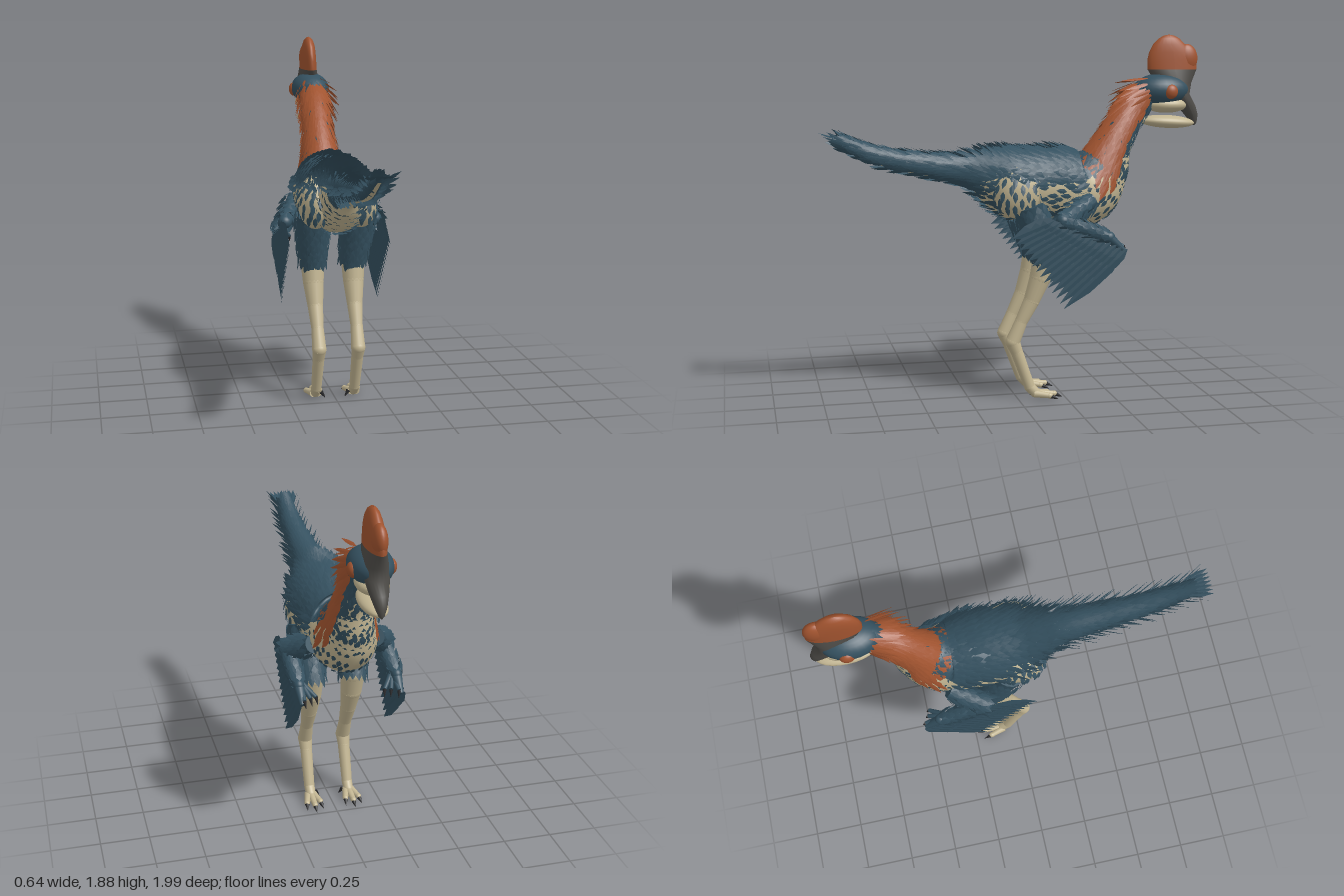
import * as THREE from 'three';

const V = (x, y, z) => new THREE.Vector3(x, y, z);
const mat = (name, color) => new THREE.MeshStandardMaterial({ name, color, side: THREE.DoubleSide });

// Body sections from tail tip to head: z, y, half width, half height
const SECTIONS = [
  [0.93, 1.375, 0.018, 0.015], [0.7, 1.28, 0.036, 0.038], [0.42, 1.225, 0.055, 0.055],
  [0.22, 1.195, 0.075, 0.08], [0.1, 1.155, 0.13, 0.145], [-0.02, 1.12, 0.175, 0.185],
  [-0.2, 1.11, 0.19, 0.2], [-0.37, 1.1, 0.17, 0.2], [-0.47, 1.2, 0.12, 0.15],
  [-0.53, 1.32, 0.085, 0.1], [-0.615, 1.47, 0.065, 0.075], [-0.7, 1.585, 0.07, 0.075],
  [-0.78, 1.62, 0.07, 0.07],
];
const LAST = SECTIONS.length - 1;

export function createModel() {
  const model = new THREE.Group();
  model.name = 'featheredDinosaur';
  const blue = mat('slateBlue', 0x34505f), cream = mat('cream', 0xc2b592);
  const rust = mat('rust', 0xa0532f), horn = mat('horn', 0x4e4c48), black = mat('claw', 0x2a2a2c);

  let seed = 7;
  const rnd = () => (seed = (seed * 16807) % 2147483647) / 2147483647;
  const jit = (k) => (rnd() - 0.5) * 2 * k;

  function add(name, geo, material, parent = model) {
    const m = new THREE.Mesh(geo, material);
    m.name = name;
    parent.add(m);
    return m;
  }
  function ball(name, p, sx, sy, sz, material, parent) {
    const m = add(name, new THREE.SphereGeometry(1, 24, 16), material, parent);
    m.position.copy(p);
    m.scale.set(sx, sy, sz);
    return m;
  }
  function limb(name, a, b, ra, rb, material, parent) {
    const m = add(name, new THREE.CylinderGeometry(rb, ra, a.distanceTo(b), 16), material, parent);
    m.position.copy(a).lerp(b, 0.5);
    m.quaternion.setFromUnitVectors(V(0, 1, 0), b.clone().sub(a).normalize());
  }
  function grid(rows, cols, point, keep = () => true) {
    const pos = [], idx = [];
    for (let i = 0; i <= rows; i++) for (let j = 0; j <= cols; j++) pos.push(...point(i, j).toArray());
    for (let i = 0; i < rows; i++) for (let j = 0; j < cols; j++) {
      if (!keep(i, j)) continue;
      const a = i * (cols + 1) + j, b = a + cols + 1;
      idx.push(a, a + 1, b, a + 1, b + 1, b);
    }
    const g = new THREE.BufferGeometry();
    g.setAttribute('position', new THREE.Float32BufferAttribute(pos, 3));
    g.setIndex(idx);
    g.computeVertexNormals();
    return g;
  }

  // Feathers: ridged leaves gathered into one list per part
  function feather(list, p, dir, normal, len, w, lift = 0.15) {
    const d = dir.clone().addScaledVector(normal, lift).normalize();
    const s = d.clone().cross(normal).normalize(), n = s.clone().cross(d).normalize();
    const at = (t, x, h) => p.clone().addScaledVector(d, t * len).addScaledVector(s, x * w / 2).addScaledVector(n, h * w + 0.003);
    const b = at(0, 0, 0), l1 = at(0.3, -0.9, 0), r1 = at(0.3, 0.9, 0), l2 = at(0.65, -0.8, 0), r2 = at(0.65, 0.8, 0);
    const m = at(0.5, 0, 0.05), tip = at(1, 0, 0);
    for (const t of [[b, m, l1], [b, r1, m], [l1, m, l2], [r1, r2, m], [l2, m, tip], [m, r2, tip]])
      for (const v of t) list.push(v.x, v.y, v.z);
  }
  function plumage(name, list, material, parent) {
    const g = new THREE.BufferGeometry();
    g.setAttribute('position', new THREE.Float32BufferAttribute(list, 3));
    g.computeVertexNormals();
    add(name, g, material, parent);
  }

  // Body surface, with u along the spine and a around it (0 = top)
  const spine = new THREE.CatmullRomCurve3(SECTIONS.map((s) => V(0, s[1], s[0])), false, 'catmullrom');
  const size = new THREE.CatmullRomCurve3(SECTIONS.map((s) => V(s[2], s[3], 0)), false, 'catmullrom');
  function body(u, a) {
    const t = Math.min(1, Math.max(0, u / LAST));
    const c = spine.getPoint(t), T = spine.getTangent(t), r = size.getPoint(t);
    const N = V(0, -T.z, T.y), s = Math.sin(a), k = Math.cos(a);
    return {
      p: c.addScaledVector(N, r.y * k).add(V(r.x * s, 0, 0)),
      n: N.multiplyScalar(k / r.y).add(V(s / r.x, 0, 0)).normalize(),
      back: T.negate(),
    };
  }
  const ROWS = 72, COLS = 40;
  const angle = (j) => (j / COLS) * 2 * Math.PI - Math.PI;
  const isBlue = (i, j) => {
    const u = (i / ROWS) * LAST, a = Math.abs(angle(j + 0.5));
    return a < (u < 3.2 ? 2.6 : u < 8.2 ? 1.25 : u < 9.4 ? 2 : 4);
  };
  const skin = (i, j) => body((i / ROWS) * LAST, angle(j)).p;
  add('backSkin', grid(ROWS, COLS, skin, isBlue), blue);
  add('bellySkin', grid(ROWS, COLS, skin, (i, j) => !isBlue(i, j)), cream);

  function coat(list, u0, u1, du, a0, a1, da, len, w, lift) {
    let row = 0;
    for (let u = u0; u < u1; u += du, row++)
      for (let a = a0 + (row % 2) * da / 2; a <= a1; a += da)
        for (const s of [-1, 1]) {
          const f = body(u + jit(du * 0.3), s * (a + jit(da * 0.25)));
          feather(list, f.p, f.back, f.n, len * (0.8 + rnd() * 0.4), w, lift);
        }
  }
  const tail = [], back = [], spots = [], neck = [], throat = [];
  coat(tail, 0.35, 3.6, 0.13, 0, 2.5, 0.45, 0.1, 0.036, 0.22);
  coat(tail, 0.4, 3.4, 0.17, 1.35, 1.75, 0.3, 0.14, 0.02, 0.45);
  coat(back, 3.5, 8.5, 0.2, 0, 1.35, 0.17, 0.09, 0.042, 0.28);
  coat(back, 3.9, 7, 0.22, 1.2, 1.45, 0.2, 0.09, 0.034, 0.5);
  coat(spots, 3.6, 8.6, 0.23, 1.45, 3.1, 0.23, 0.055, 0.028, 0.1);
  coat(throat, 8.3, 9.6, 0.2, 2, 3.1, 0.32, 0.06, 0.032, 0.12);
  coat(throat, 9.6, 11, 0.25, 2.1, 3.1, 0.4, 0.07, 0.026, 0.25);
  coat(neck, 7.7, 11.2, 0.22, 0, 2, 0.3, 0.11, 0.038, 0.32);
  coat(neck, 10.6, 11.4, 0.25, 0.4, 1.9, 0.4, 0.15, 0.022, 0.35);
  for (const i of [-3, -2, -1, 0, 1, 2, 3])
    feather(tail, V(i * 0.01, 1.355, 0.85), V(i * 0.09, 0.3, 1).normalize(), V(0, 1, 0), 0.155, 0.034, 0);
  plumage('tailFeathers', tail, blue);
  plumage('backFeathers', back, blue);
  plumage('flankSpots', spots, blue);
  plumage('throatFeathers', throat, blue);
  plumage('neckFeathers', neck, rust);

  // Head with a beak that rises into a tall crest
  const head = new THREE.Group();
  head.name = 'head';
  model.add(head);
  ball('skull', V(0, 1.605, -0.79), 0.105, 0.085, 0.15, blue, head);
  ball('upperJaw', V(0, 1.527, -0.82), 0.078, 0.044, 0.118, cream, head);
  const jaw = ball('lowerJaw', V(0, 1.437, -0.825), 0.064, 0.034, 0.152, cream, head);
  jaw.rotation.x = -0.06;
  // Rows of y, back z, front z, half width
  function blade(name, rows, material) {
    const n = 24;
    add(name, grid(rows.length - 1, n, (i, j) => {
      const [y, zb, zf, w] = rows[i], a = -(j / n) * 2 * Math.PI;
      return V(Math.cos(a) * w, y, (zb + zf) / 2 + Math.sin(a) * (zb - zf) / 2);
    }), material, head);
  }
  blade('beak', [[1.415, -0.972, -0.98, 0.003], [1.43, -0.955, -0.99, 0.015], [1.47, -0.925, -0.995, 0.03],
    [1.52, -0.88, -0.98, 0.045], [1.58, -0.84, -0.945, 0.06], [1.64, -0.76, -0.955, 0.06], [1.71, -0.715, -0.985, 0.044]], horn);
  blade('crest', [[1.71, -0.715, -0.985, 0.044], [1.76, -0.713, -0.985, 0.041], [1.8, -0.722, -0.965, 0.038],
    [1.84, -0.743, -0.92, 0.033], [1.87, -0.772, -0.888, 0.024], [1.885, -0.8, -0.86, 0.012], [1.89, -0.825, -0.835, 0.001]], rust);
  ball('crestLobe', V(0, 1.765, -0.925), 0.036, 0.078, 0.063, rust, head);

  // Feathers over a tapering limb
  function sleeve(list, a, b, ra, rb, rows, cols, len, w, lift) {
    const d = b.clone().sub(a).normalize();
    const e = d.clone().cross(V(1, 0, 0)).normalize(), f = d.clone().cross(e);
    for (let i = 0; i < rows; i++) for (let j = 0; j < cols; j++) {
      const t = i / rows, q = ((j + (i % 2) / 2 + jit(0.2)) / cols) * 2 * Math.PI;
      const n = e.clone().multiplyScalar(Math.cos(q)).addScaledVector(f, Math.sin(q));
      const p = a.clone().lerp(b, t).addScaledVector(n, ra + (rb - ra) * t);
      feather(list, p, d, n, len * (0.8 + rnd() * 0.4), w, lift);
    }
  }

  for (const s of [-1, 1]) {
    const side = s > 0 ? 'left' : 'right';
    const P = (x, y, z) => V(s * x, y, z);
    ball(side + 'Eye', P(0.088, 1.598, -0.815), 0.028, 0.038, 0.038, rust, head);

    // Thigh
    const leg = new THREE.Group();
    leg.name = side + 'Leg';
    model.add(leg);
    const hip = P(0.12, 1.1, 0.0), mid = P(0.125, 1.03, -0.05), knee = P(0.11, 0.76, -0.14);
    const r = V(0.088, 0.14, 0.13), mark = [], thigh = [];
    ball('haunch', hip, r.x, r.y, r.z, cream, leg);
    limb('lowerThigh', mid, knee, 0.085, 0.064, blue, leg);
    for (let i = 0; i < 6; i++) for (let j = 0; j < 12; j++) {
      const v = 0.75 + i * 0.25, q = ((j + (i % 2) / 2 + jit(0.2)) / 12) * 2 * Math.PI;
      const o = V(Math.sin(v) * Math.cos(q), Math.cos(v), Math.sin(v) * Math.sin(q));
      const down = V(Math.cos(v) * Math.cos(q), -Math.sin(v), Math.cos(v) * Math.sin(q)).multiply(r).normalize();
      feather(mark, o.clone().multiply(r).add(hip), down, o.divide(r).normalize(), 0.06, 0.028, 0.08);
    }
    sleeve(thigh, mid, knee, 0.09, 0.064, 8, 14, 0.08, 0.04, 0.12);
    plumage('thighSpots', mark, blue, leg);
    plumage('thighFeathers', thigh, blue, leg);

    // Shin, hock and foot
    const bones = [[knee, 0.064], [P(0.109, 0.65, -0.115), 0.056], [P(0.107, 0.53, -0.07), 0.042],
      [P(0.106, 0.42, -0.015), 0.033], [P(0.105, 0.315, 0.03), 0.038], [P(0.105, 0.26, 0.008), 0.032],
      [P(0.105, 0.07, -0.06), 0.028], [P(0.105, 0.038, -0.09), 0.027]];
    bones.forEach(([p, rad], i) => {
      ball('legJoint', p, rad, rad, rad, cream, leg);
      if (i) limb('legBone', bones[i - 1][0], p, bones[i - 1][1], rad, cream, leg);
    });
    for (const k of [-1, 0, 1]) {
      const tip = P(0.106 + k * 0.036, 0.026, -0.19 + Math.abs(k) * 0.03);
      limb('toe', P(0.105 + k * 0.012, 0.034, -0.085), tip, 0.021, 0.014, cream, leg);
      ball('toeJoint', tip, 0.015, 0.015, 0.018, cream, leg);
      limb('toeClaw', tip, tip.clone().add(P(k * 0.008, -0.02, -0.046)), 0.0145, 0.001, black, leg);
    }
    limb('hindClaw', P(0.075, 0.04, -0.08), P(0.055, 0.01, -0.075), 0.012, 0.002, black, leg);

    // Wing
    const wing = new THREE.Group();
    wing.name = side + 'Wing';
    model.add(wing);
    const shoulder = P(0.16, 1.05, -0.37), elbow = P(0.245, 0.96, -0.2);
    const wrist = P(0.25, 0.87, -0.44), hand = P(0.25, 0.8, -0.52);
    limb('upperArm', shoulder, elbow, 0.045, 0.036, blue, wing);
    limb('forearm', elbow, wrist, 0.034, 0.028, blue, wing);
    limb('palm', wrist, hand, 0.028, 0.014, blue, wing);
    ball('elbow', elbow, 0.036, 0.036, 0.036, blue, wing);
    ball('wrist', wrist, 0.028, 0.032, 0.032, blue, wing);
    const arm = [], flight = [];
    sleeve(arm, shoulder, elbow, 0.045, 0.036, 6, 9, 0.075, 0.036, 0.35);
    sleeve(arm, wrist, elbow, 0.028, 0.034, 7, 8, 0.07, 0.034, 0.3);
    const rows = [[1, 0.258, 0.085], [0.62, 0.266, 0.07], [0.36, 0.272, 0.06]];
    for (const [reach, x, w] of rows) for (let i = 0; i <= 13; i++) {
      const t = i / 13;
      const a = P(x - 0.006 * t, 0.97 - 0.16 * t, -0.15 - 0.385 * t);
      const b = P(x + 0.004, 0.88 - 0.37 * t, 0.07 - 0.27 * t);
      const d = b.sub(a), len = d.length() * reach;
      feather(flight, a, d.normalize(), P(1, 0, 0), len, w, 0);
    }
    plumage('armFeathers', arm, blue, wing);
    plumage('flightFeathers', flight, blue, wing);
    for (const [x, z] of [[0.175, -0.49], [0.205, -0.5], [0.24, -0.52]]) {
      const tip = P(x, 0.82, z);
      limb('finger', P(0.235, 0.87, -0.41), tip, 0.017, 0.01, blue, wing);
      limb('fingerClaw', tip, tip.clone().add(P(-0.005, -0.035, -0.015)), 0.01, 0.001, black, wing);
    }
  }
  return model;
}
